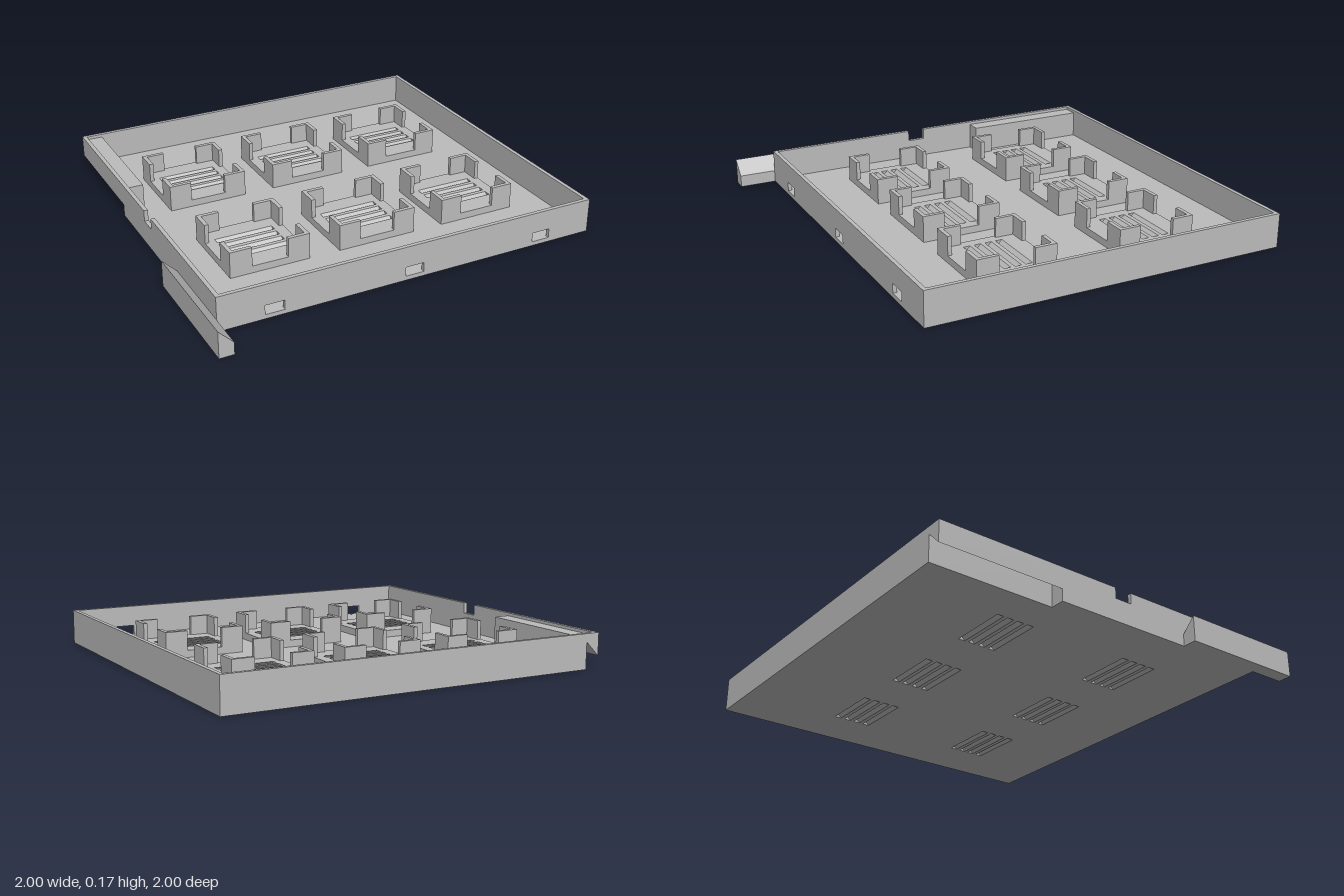
import * as THREE from 'three';

export function createModel() {
  const model = new THREE.Group();
  const grey = new THREE.MeshStandardMaterial({ color: 0xbcbcbc });
  grey.name = 'light grey plastic';

  const X0 = -0.93, X1 = 1, Z0 = -1, Z1 = 0.815; // tray outline
  const T = 0.02, H = 0.17, BASE = 0.02;         // wall, height, floor
  const RAIL_X = -0.83, RAIL_TOP = 0.155, RAIL_END = -0.34;
  const PAD = 0.055, POST = 0.15, HALF = 0.2;    // holder pads and corner posts

  function add(name, geometry, parent = model) {
    const mesh = new THREE.Mesh(geometry, grey);
    mesh.name = name;
    parent.add(mesh);
    return mesh;
  }
  function box(name, xa, xb, ya, yb, za, zb, parent) {
    const g = new THREE.BoxGeometry(xb - xa, yb - ya, zb - za);
    g.translate((xa + xb) / 2, (ya + yb) / 2, (za + zb) / 2);
    return add(name, g, parent);
  }
  const toPoints = (list) => list.map(([a, b]) => new THREE.Vector2(a, b));
  function extrude(points, depth, holes = []) {
    const shape = new THREE.Shape(toPoints(points));
    for (const h of holes) shape.holes.push(new THREE.Path(toPoints(h)));
    return new THREE.ExtrudeGeometry(shape, { depth, bevelEnabled: false });
  }
  const rect = (a0, a1, b0, b1) => [[a0, b0], [a1, b0], [a1, b1], [a0, b1]];
  // (x, y) profile run along z
  const alongZ = (pts, za, zb, holes) => extrude(pts, zb - za, holes).translate(0, 0, za);
  // (z, y) profile run along x
  const alongX = (pts, xa, xb) => extrude(pts, xb - xa).rotateY(-Math.PI / 2).translate(xb, 0, 0);
  // (x, z) plan raised along y
  const flip = (pts) => pts.map(([x, z]) => [x, -z]);
  const alongY = (pts, ya, yb, holes = []) =>
    extrude(flip(pts), yb - ya, holes.map(flip)).rotateX(-Math.PI / 2).translate(0, ya, 0);

  // Floor, open where the holders sit and where the socket rail cuts in
  const centres = [];
  for (const x of [-0.52, 0.035, 0.59]) for (const z of [-0.46, 0.27]) centres.push([x, z]);
  add('floor', alongY(
    [[RAIL_X, Z0], [X1, Z0], [X1, Z1], [X0, Z1], [X0, RAIL_END], [RAIL_X, RAIL_END]], 0, BASE,
    centres.map(([x, z]) => rect(x - HALF, x + HALF, z - HALF, z + HALF))));

  // Outer walls
  box('backWall', RAIL_X, X1, BASE, H, Z0, Z0 + T);
  box('leftWall', X1 - T, X1, BASE, H, Z0 + T, Z1 - T);
  const windows = [-0.66, 0.035, 0.725].map((x) => rect(x - 0.047, x + 0.047, BASE + 0.001, 0.067));
  add('frontWall', alongZ(rect(X0, X1, BASE, H), Z1 - T, Z1, windows));
  add('rightWall', alongX([[RAIL_END, BASE], [Z1 - T, BASE], [Z1 - T, H], [0.04, H],
    [0.04, 0.115], [-0.05, 0.115], [-0.05, H], [RAIL_END, H]], X0, X0 + T));

  // Rail with a slanted socket open to the side and back
  add('socketRail', alongZ([[X0, 0.06], [-0.86, 0.13], [-0.86, 0], [RAIL_X, 0], [RAIL_X, RAIL_TOP],
    [X0 + T, RAIL_TOP], [X0 + T, H], [X0, H]], Z0, RAIL_END - T));
  add('socketEnd', alongZ([[X0, 0], [RAIL_X, 0], [RAIL_X, RAIL_TOP],
    [X0 + T, RAIL_TOP], [X0 + T, H], [X0, H]], RAIL_END - T, RAIL_END));
  box('railBackLip', X0 + T, RAIL_X, RAIL_TOP, H, Z0, Z0 + T);

  // Slanted joining tongue that fits a matching socket
  add('joiningTongue', alongZ([[-1, 0], [X0, 0], [X0, 0.06], [-1, 0.13]], 0.36, 1));

  // Holder: raised pad with slanted vents and four corner posts
  const ventX = 0.147, ventW = 0.034, slant = 0.055;
  const vents = [-0.105, -0.05, 0.005, 0.06];
  function makeHolder(x, z) {
    const holder = new THREE.Group();
    holder.name = 'holder';
    holder.position.set(x, 0, z);
    for (const s of [-1, 1]) {
      const [a, b] = s < 0 ? [-HALF, -ventX] : [ventX, HALF];
      box('padSide', a, b, 0, PAD, -HALF, HALF, holder);
    }
    // Bars between the vents lean forward towards the bottom
    for (let i = 0; i <= vents.length; i++) {
      const first = i === 0, last = i === vents.length;
      const a = first ? -HALF : vents[i - 1] + ventW;
      const b = last ? HALF : vents[i];
      add('ventBar', alongX([[first ? a : a + slant, 0], [last ? b : b + slant, 0],
        [b, PAD], [a, PAD]], -ventX, ventX), holder);
    }
    const L = 0.11, inner = HALF - T;
    for (const sx of [-1, 1]) for (const sz of [-1, 1]) {
      let plan = [[HALF, HALF], [HALF - L, HALF], [HALF - L, inner],
        [inner, inner], [inner, HALF - L], [HALF, HALF - L]];
      plan = plan.map(([px, pz]) => [px * sx, pz * sz]);
      add('cornerPost', alongY(plan, PAD, POST), holder);
    }
    return holder;
  }
  for (const [x, z] of centres) model.add(makeHolder(x, z));

  return model;
}
